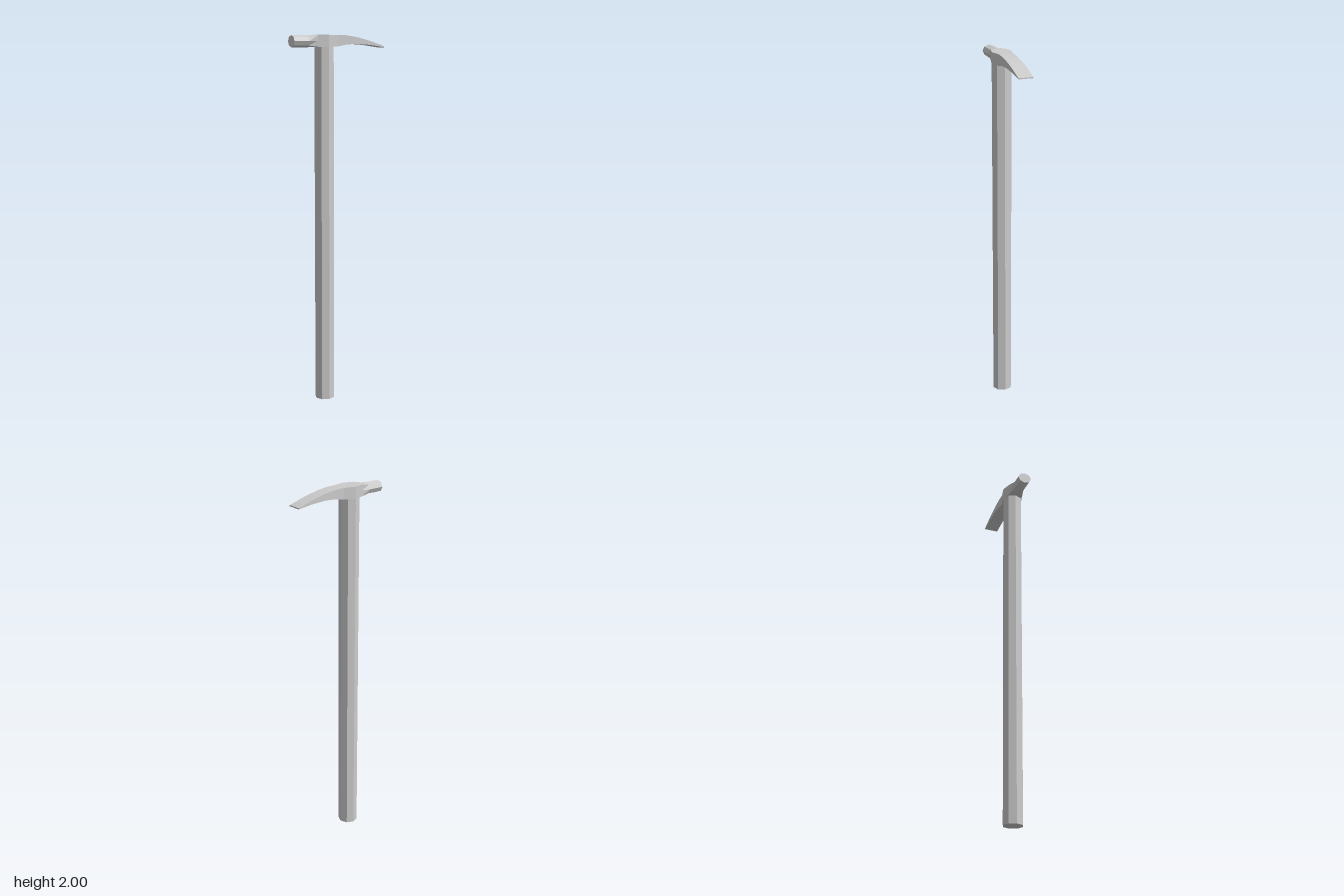
import * as THREE from 'three';
import { toCreasedNormals } from 'three/addons/utils/BufferGeometryUtils.js';

const HANDLE_X = -0.079;

// Eight points round the x axis: top, front corner, front, ... back corner.
// round = octagonal section, otherwise a rectangle; lead shifts the top and bottom midpoints.
function ring({ x, top, bottom, half, round = false, lead = 0 }) {
  const mid = (top + bottom) / 2, h = (top - bottom) / 2;
  const points = [];
  for (let k = 0; k < 8; k++) {
    const a = (k * Math.PI) / 4;
    let c = Math.cos(a), s = Math.sin(a);
    if (!round) {
      c = Math.sign(Math.round(c * 2));
      s = Math.sign(Math.round(s * 2));
    }
    points.push([x + (k % 4 === 0 ? lead : 0), mid + h * c, half * s]);
  }
  return points;
}

// Skins a row of rings and caps both ends.
function loft(rings) {
  const positions = [];
  const tri = (a, b, c) => positions.push(...a, ...b, ...c);
  for (let i = 0; i < rings.length - 1; i++) {
    for (let k = 0; k < 8; k++) {
      const n = (k + 1) % 8;
      const a = rings[i][k], b = rings[i][n], c = rings[i + 1][k], d = rings[i + 1][n];
      tri(a, b, c);
      tri(b, d, c);
    }
  }
  const first = rings[0], last = rings[rings.length - 1];
  for (let k = 1; k < 7; k++) {
    tri(first[0], first[k + 1], first[k]);
    tri(last[0], last[k], last[k + 1]);
  }
  const geometry = new THREE.BufferGeometry();
  geometry.setAttribute('position', new THREE.Float32BufferAttribute(positions, 3));
  return toCreasedNormals(geometry, 0.2);
}

export function createModel() {
  const group = new THREE.Group();
  group.name = 'hammer';

  // Octagonal handle, its top hidden inside the head
  const handleGeometry = new THREE.CylinderGeometry(1, 1, 1.97, 8);
  handleGeometry.scale(0.053, 1, 0.055);
  const handle = new THREE.Mesh(
    handleGeometry,
    new THREE.MeshStandardMaterial({ color: 0xcccccc, flatShading: true })
  );
  handle.name = 'handle';
  handle.position.set(HANDLE_X, 0.985, 0);
  group.add(handle);

  // Head: octagonal striking end, wide eye, then a curved blade thinning to an edge
  const sections = [
    { x: -0.273, top: 1.998, bottom: 1.935, half: 0.038, round: true },
    { x: -0.188, top: 1.998, bottom: 1.935, half: 0.038, round: true },
    { x: -0.135, top: 2.0, bottom: 1.938, half: 0.039, lead: -0.025 },
    { x: HANDLE_X, top: 2.0, bottom: 1.936, half: 0.055 },
    { x: -0.015, top: 2.0, bottom: 1.94, half: 0.039 },
    { x: 0.04, top: 1.998, bottom: 1.95, half: 0.039 },
    { x: 0.1, top: 1.989, bottom: 1.953, half: 0.039 },
    { x: 0.18, top: 1.97, bottom: 1.948, half: 0.039 },
    { x: 0.272, top: 1.941, bottom: 1.935, half: 0.039 },
  ];
  const head = new THREE.Mesh(
    loft(sections.map(ring)),
    new THREE.MeshStandardMaterial({ color: 0xcccccc })
  );
  head.name = 'head';
  group.add(head);

  return group;
}
